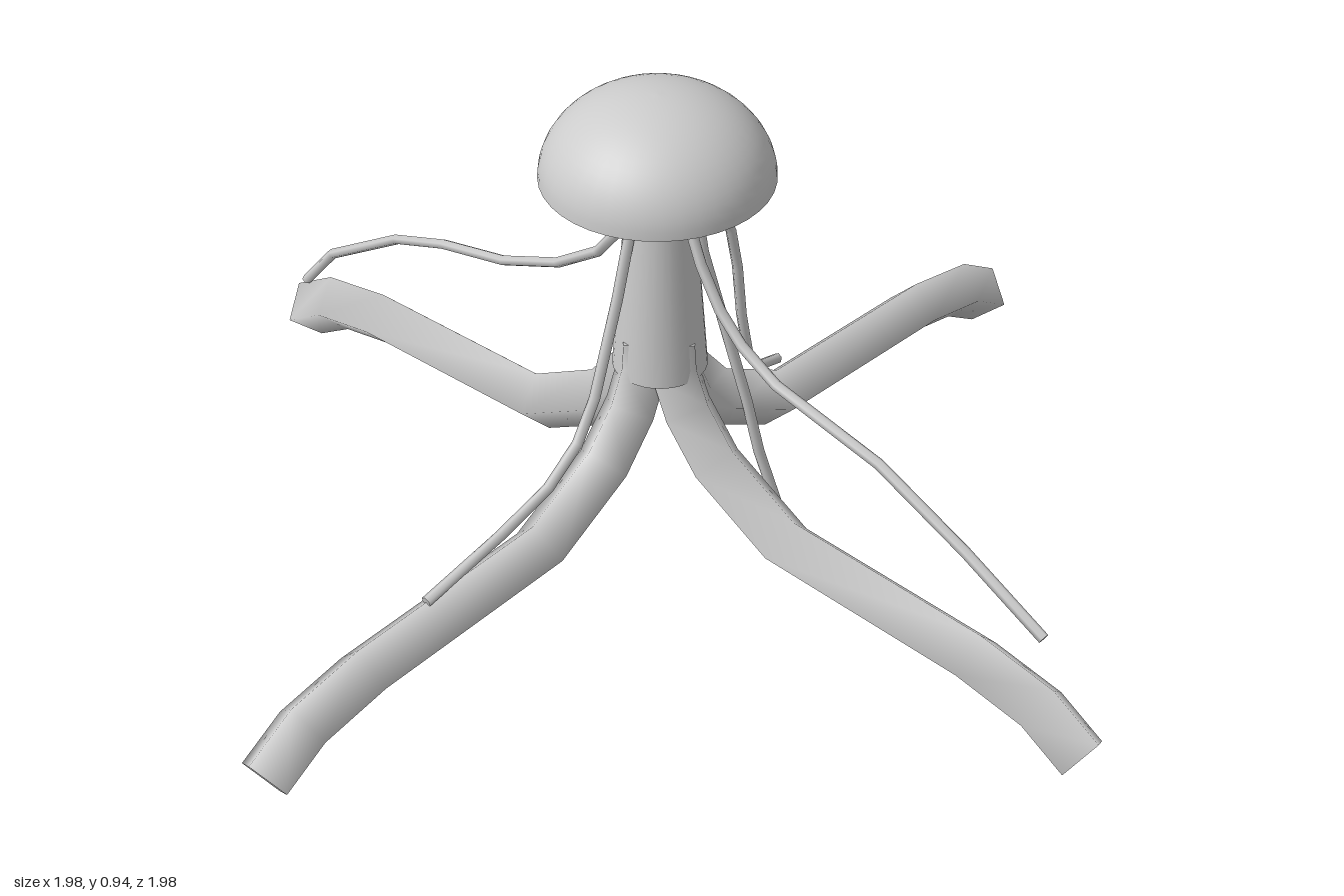
import * as THREE from 'three';

const material = new THREE.MeshStandardMaterial({ color: 0xcccccc });

function add(parent, geometry, name) {
  const mesh = new THREE.Mesh(geometry, material);
  mesh.name = name;
  parent.add(mesh);
  return mesh;
}

// Sweeps a regular polygon along a path of [outward, height] points, with mitred bends and closed ends.
function sweep(path, radius, sides) {
  const points = path.map(([r, y]) => new THREE.Vector2(r, y));
  const last = points.length - 1;
  const positions = [], index = [];
  const ring = (i) => {
    const p = points[i];
    const into = p.clone().sub(points[Math.max(i - 1, 0)]).normalize();
    const out = points[Math.min(i + 1, last)].clone().sub(p).normalize();
    const t = into.clone().add(out).normalize();
    const mitre = radius / (i === 0 ? 1 : Math.max(t.dot(into), 0.7));
    for (let j = 0; j < sides; j++) {
      const a = (j / sides) * Math.PI * 2;
      const n = Math.cos(a) * mitre;
      positions.push(p.x - t.y * n, p.y + t.x * n, Math.sin(a) * radius);
    }
  };
  for (let i = 0; i <= last; i++) ring(i);
  for (let i = 0; i < last; i++) {
    for (let j = 0; j < sides; j++) {
      const a = i * sides + j, b = i * sides + ((j + 1) % sides);
      index.push(a, b, a + sides, b, b + sides, a + sides);
    }
  }
  // End caps use their own corners so their edges stay sharp
  const start = positions.length / 3;
  ring(0);
  ring(last);
  for (let j = 1; j < sides - 1; j++) {
    index.push(start, start + j + 1, start + j);
    index.push(start + sides, start + sides + j, start + sides + j + 1);
  }
  const geometry = new THREE.BufferGeometry();
  geometry.setAttribute('position', new THREE.Float32BufferAttribute(positions, 3));
  geometry.setIndex(index);
  geometry.computeVertexNormals();
  return geometry;
}

export function createModel() {
  const model = new THREE.Group();
  model.name = 'tentacledCreature';

  // Domed cap with a flat underside
  const dome = [];
  for (let i = 0; i <= 16; i++) {
    const a = (i / 16) * Math.PI / 2;
    dome.push(new THREE.Vector2(0.205 * Math.cos(a), 0.16 * Math.sin(a)));
  }
  const cap = new THREE.Group();
  cap.name = 'cap';
  cap.position.set(-0.002, 0.78, -0.004);
  add(cap, new THREE.LatheGeometry(dome, 40), 'capDome');
  add(cap, new THREE.CircleGeometry(0.205, 40).rotateX(Math.PI / 2), 'capUnderside');
  model.add(cap);

  // Tapered stem
  add(model, new THREE.CylinderGeometry(0.055, 0.085, 0.41, 32), 'stem').position.y = 0.595;

  // Four thick four-sided tentacles
  const legPath = [[0.03, 0.46], [0.035, 0.4], [0.07, 0.32], [0.14, 0.235], [0.305, 0.142],
    [0.73, 0.125], [0.87, 0.098], [0.96, 0.043]];
  const legGeometry = sweep(legPath, 0.056, 4);
  const legs = [
    ['leftTentacle', 0, 0, 0.003],
    ['backTentacle', Math.PI / 2, 0.007, 0],
    ['rightTentacle', Math.PI, 0, -0.008],
    ['frontTentacle', -Math.PI / 2, -0.003, 0],
  ];
  for (const [name, angle, x, z] of legs) {
    const leg = add(model, legGeometry, name);
    leg.rotation.y = angle;
    leg.position.set(x, 0, z);
  }

  // Thin trailing filaments hanging from under the cap
  const filaments = [
    ['rightFilament', Math.PI, 0, -0.008, [[0.045, 0.8], [0.065, 0.7], [0.1, 0.57], [0.16, 0.39],
      [0.205, 0.315], [0.28, 0.26], [0.4, 0.225], [0.58, 0.188]]],
    ['leftFilament', 0, 0, -0.008, [[0.045, 0.8], [0.085, 0.72], [0.155, 0.645], [0.195, 0.57],
      [0.215, 0.48], [0.228, 0.37], [0.25, 0.265], [0.28, 0.225], [0.335, 0.212]]],
    ['frontFilament', -Math.PI / 2, 0, 0, [[0.045, 0.8], [0.06, 0.73], [0.095, 0.64], [0.14, 0.565],
      [0.19, 0.515], [0.27, 0.47], [0.5, 0.42], [0.69, 0.335], [0.86, 0.245]]],
    ['backFilament', Math.PI / 2, 0, 0, [[0.055, 0.8], [0.07, 0.7], [0.1, 0.62], [0.15, 0.555],
      [0.25, 0.485], [0.39, 0.425], [0.55, 0.388], [0.68, 0.34], [0.87, 0.22], [0.955, 0.12]]],
    ['cornerFilament', -Math.PI / 4, 0, 0, [[0.05, 0.8], [0.075, 0.62], [0.11, 0.48], [0.155, 0.3],
      [0.18, 0.18], [0.219, 0.045]]],
  ];
  for (const [name, angle, x, z, path] of filaments) {
    const filament = add(model, sweep(path, 0.01, 6), name);
    filament.rotation.y = angle;
    filament.position.set(x, 0, z);
  }

  return model;
}
